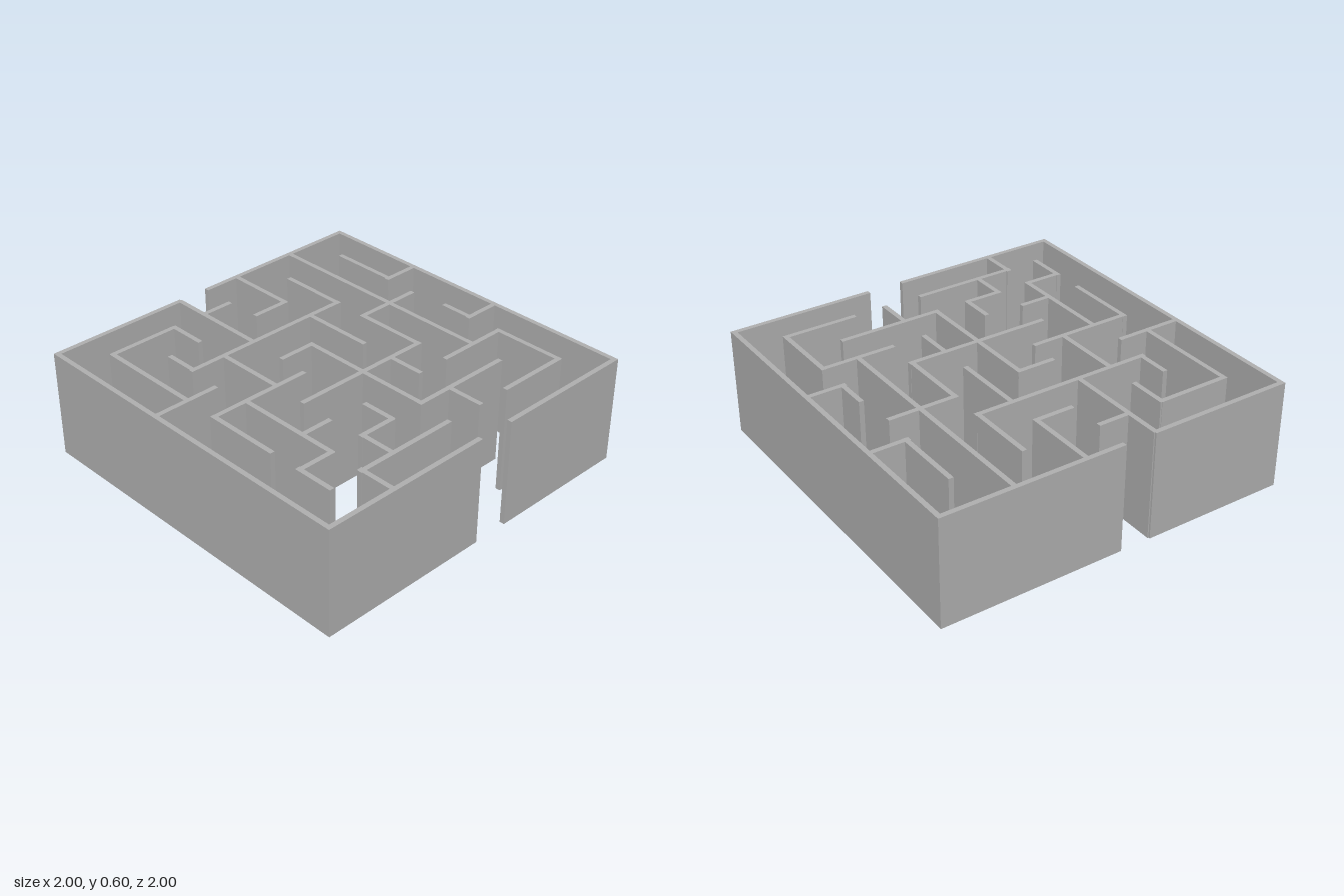
import * as THREE from 'three';

const HEIGHT = 0.6, THICK = 0.027, PITCH = 0.1973;

// Walls along x: [grid row, x start, x end]
const ALONG_X = [
  [1, -0.80, -0.39], [1, -0.19, -0.015],
  [2, -0.015, 0.21],
  [3, -0.61, 0.41], [3, 0.77, 0.99],
  [4, -0.99, -0.61], [4, 0.38, 0.77],
  [4.13, -0.21, 0.013],
  [5, -0.80, -0.21],
  [6, -0.41, 0.41], [6, 0.77, 0.99],
  [7, -0.60, -0.41], [7, 0.38, 0.80],
  [8, -0.80, -0.58], [8, -0.41, -0.19], [8, -0.015, 0.575],
  [9, -0.61, -0.015], [9, 0.38, 0.80],
];

// Walls along z: [grid column, z start, z end]
const ALONG_Z = [
  [1, -0.80, -0.20], [1, -0.015, 0.41], [1, 0.575, 0.80],
  [2, -0.58, -0.39], [2, -0.01, 0.60], [2, 0.77, 0.99],
  [3, -0.80, -0.58], [3, -0.39, 0], [3, 0.58, 0.79],
  [4, -0.99, -0.39], [4, 0.405, 0.60],
  [5, -0.185, 0.60],
  [6, -0.99, -0.58], [6, -0.39, 0.013], [6, 0.20, 0.405], [6, 0.60, 0.80],
  [7, -0.775, -0.38], [7, -0.21, 0.21],
  [8, -0.99, 0.39],
  [9, -0.775, -0.38], [9, 0.013, 0.21], [9, 0.38, 0.80],
];

// Outer walls, with an entrance gap at the front and an exit gap at the back
const OUTER_X = [[0, -1, -0.19], [0, -0.015, 1], [10, -1, -0.02], [10, 0.183, 1]];
const OUTER_Z = [[0, -1, 1], [10, -1, 1]];

export function createModel() {
  const model = new THREE.Group();
  model.name = 'maze';
  const stone = new THREE.MeshStandardMaterial({ color: 0xb0b0b0 });
  stone.name = 'grey wall';

  const addWalls = (group, name, walls, alongX) => {
    for (const [line, from, to] of walls) {
      const length = to - from, middle = (from + to) / 2, offset = (line - 5) * PITCH;
      const wall = new THREE.Mesh(
        new THREE.BoxGeometry(alongX ? length : THICK, HEIGHT, alongX ? THICK : length), stone);
      wall.position.set(alongX ? middle : offset, HEIGHT / 2, alongX ? offset : middle);
      wall.name = name;
      group.add(wall);
    }
  };

  const outer = new THREE.Group();
  outer.name = 'outerWalls';
  addWalls(outer, 'outerWall', OUTER_X, true);
  addWalls(outer, 'outerWall', OUTER_Z, false);

  const inner = new THREE.Group();
  inner.name = 'innerWalls';
  addWalls(inner, 'innerWall', ALONG_X, true);
  addWalls(inner, 'innerWall', ALONG_Z, false);

  model.add(outer, inner);
  return model;
}
